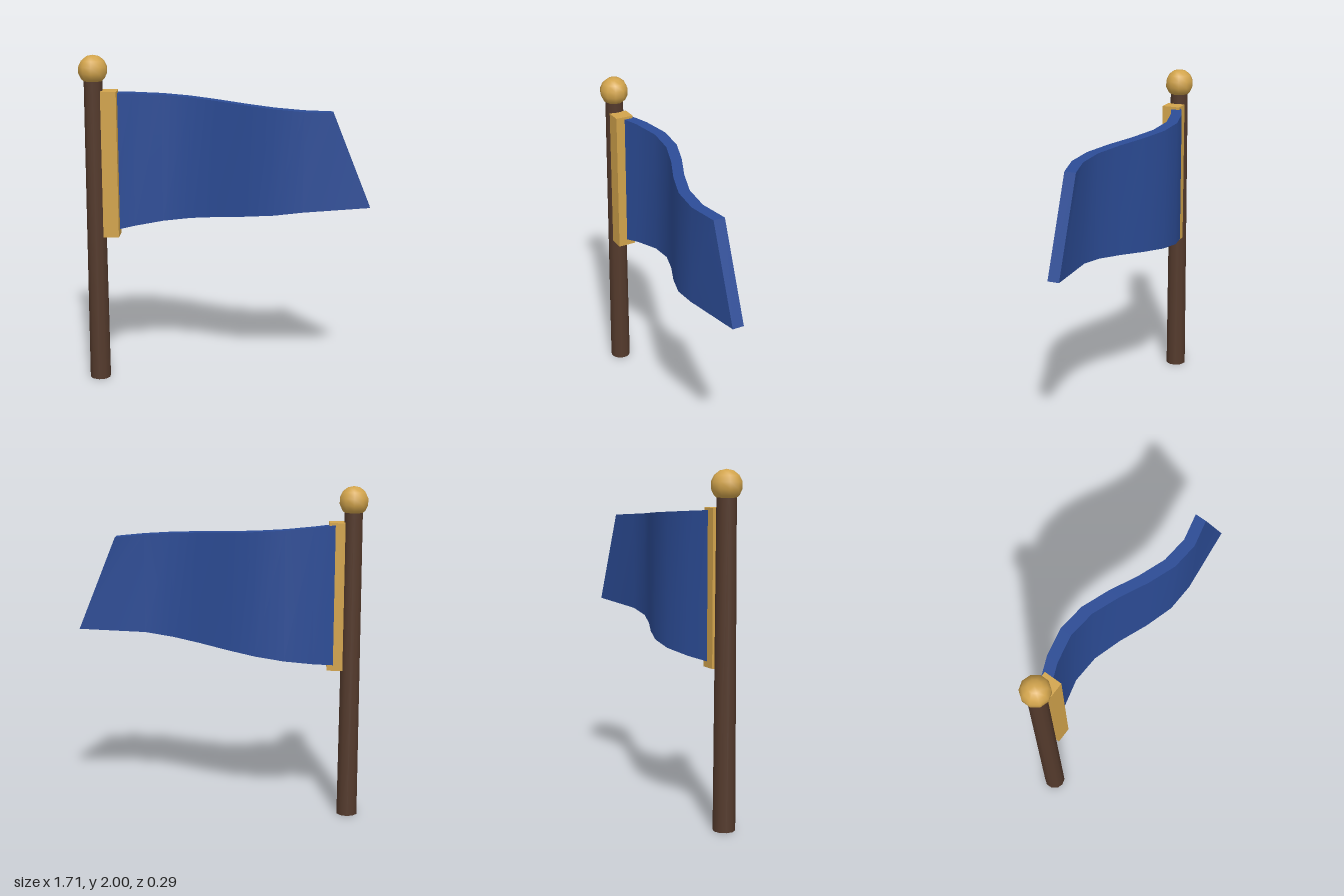
import * as THREE from 'three';
import { toCreasedNormals } from 'three/addons/utils/BufferGeometryUtils.js';

const POLE_X = -0.777;

const material = (name, color) => {
  const m = new THREE.MeshStandardMaterial({ color });
  m.name = name;
  return m;
};

// Waving cloth: a box whose columns follow a sine wave and a taper
function clothGeometry() {
  const x0 = -0.72, x1 = 0.63, steps = 8, thickness = 0.07;
  const geo = new THREE.BoxGeometry(1, 1, 1, steps, 1, 1);
  const pos = geo.attributes.position;
  for (let i = 0; i < pos.count; i++) {
    const t = pos.getX(i) + 0.5;
    const top = pos.getY(i) > 0;
    const wave = -0.112 * Math.sin(t * 5.6);
    let x = THREE.MathUtils.lerp(x0, x1, t);
    const y = top ? THREE.MathUtils.lerp(1.78, 1.685, t) : THREE.MathUtils.lerp(0.937, 1.126, t);
    // slanted free end
    if (!top && t > 0.99) x += 0.225;
    pos.setXYZ(i, x, y, wave + pos.getZ(i) * thickness);
  }
  return toCreasedNormals(geo, 0.7);
}

export function createModel() {
  const group = new THREE.Group();
  const wood = material('dark wood', 0x543a2c);
  const brass = material('brass', 0xd2a44c);
  const blue = material('blue cloth', 0x2c4c96);

  const add = (name, geometry, mat, x = 0, y = 0, z = 0) => {
    const mesh = new THREE.Mesh(geometry, mat);
    mesh.name = name;
    mesh.position.set(x, y, z);
    group.add(mesh);
    return mesh;
  };

  // Tapered pole and its ball
  add('pole', new THREE.CylinderGeometry(0.055, 0.0635, 1.87, 10), wood, POLE_X, 0.935);
  const finial = add('finial', new THREE.SphereGeometry(0.0875, 10, 7), brass, POLE_X, 1.9125);
  finial.rotation.y = Math.PI / 2;

  // Sleeve holding the cloth to the pole
  add('sleeve', new THREE.BoxGeometry(0.093, 0.88, 0.11), brass, -0.6835, 1.35);

  add('flag', clothGeometry(), blue);
  return group;
}
